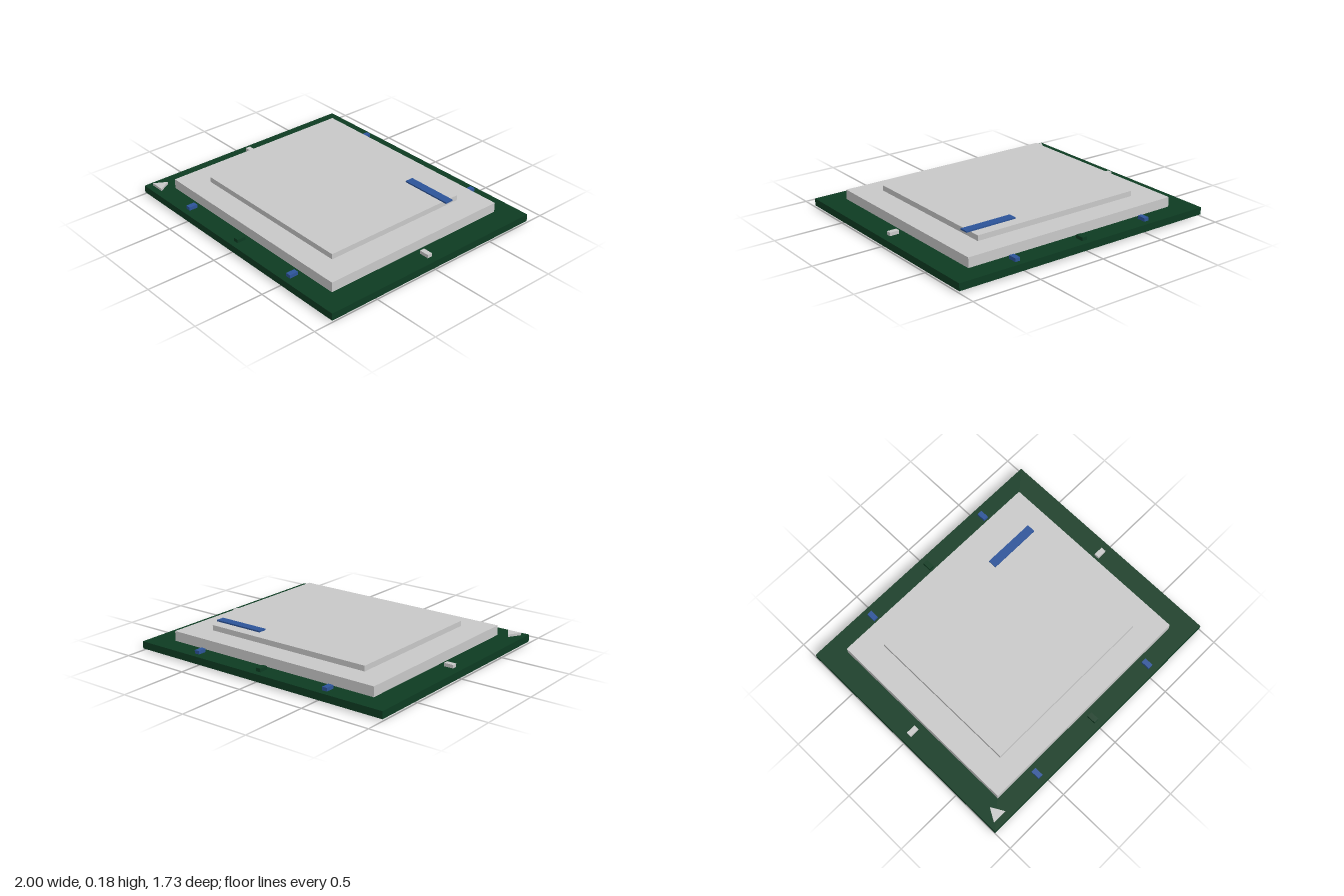
import * as THREE from 'three';

const mat = (name, color) => {
  const m = new THREE.MeshStandardMaterial({ color });
  m.name = name;
  return m;
};

export function createModel() {
  const green = mat('board green', 0x0d3b22);
  const silver = mat('silver grey', 0xc8c8c8);
  const blue = mat('blue', 0x2c5499);

  const group = new THREE.Group();
  group.name = 'processorPackage';

  // Box of size w x d, spanning heights y0 to y1, centred at x, z
  const slab = (name, material, w, d, y0, y1, x = 0, z = 0) => {
    const mesh = new THREE.Mesh(new THREE.BoxGeometry(w, y1 - y0, d), material);
    mesh.name = name;
    mesh.position.set(x, (y0 + y1) / 2, z);
    group.add(mesh);
  };

  // Contact plate, circuit board and two-step metal lid
  const top = 0.064;
  slab('contactPlate', silver, 1.856, 1.604, 0, 0.014);
  slab('board', green, 2, 1.726, 0.013, top);
  slab('lidBase', silver, 1.664, 1.44, top, 0.134);
  slab('lidTop', silver, 1.28, 1.106, 0.134, 0.172);

  // Raised stripe overhanging the lid edge
  slab('stripe', blue, 0.384, 0.062, 0.172, 0.182, 0.48, -0.446);

  // Small components along the front and back edges
  for (const z of [-0.789, 0.789]) {
    for (const x of [-0.535, 0, 0.535]) {
      slab('edgeComponent', x === 0 ? green : blue, 0.037, 0.064, top, 0.088, x, z);
    }
  }

  // Side components
  for (const x of [-0.91, 0.91]) slab('sideComponent', silver, 0.07, 0.036, top, 0.088, x, 0);

  // Triangular corner marker, pointing to the back
  const marker = new THREE.Mesh(
    new THREE.CylinderGeometry(0.06, 0.06, 0.018, 3).toNonIndexed(), silver);
  marker.geometry.computeVertexNormals();
  marker.name = 'cornerMarker';
  marker.rotation.y = Math.PI;
  marker.position.set(-0.912, top + 0.009, 0.787);
  group.add(marker);

  return group;
}
